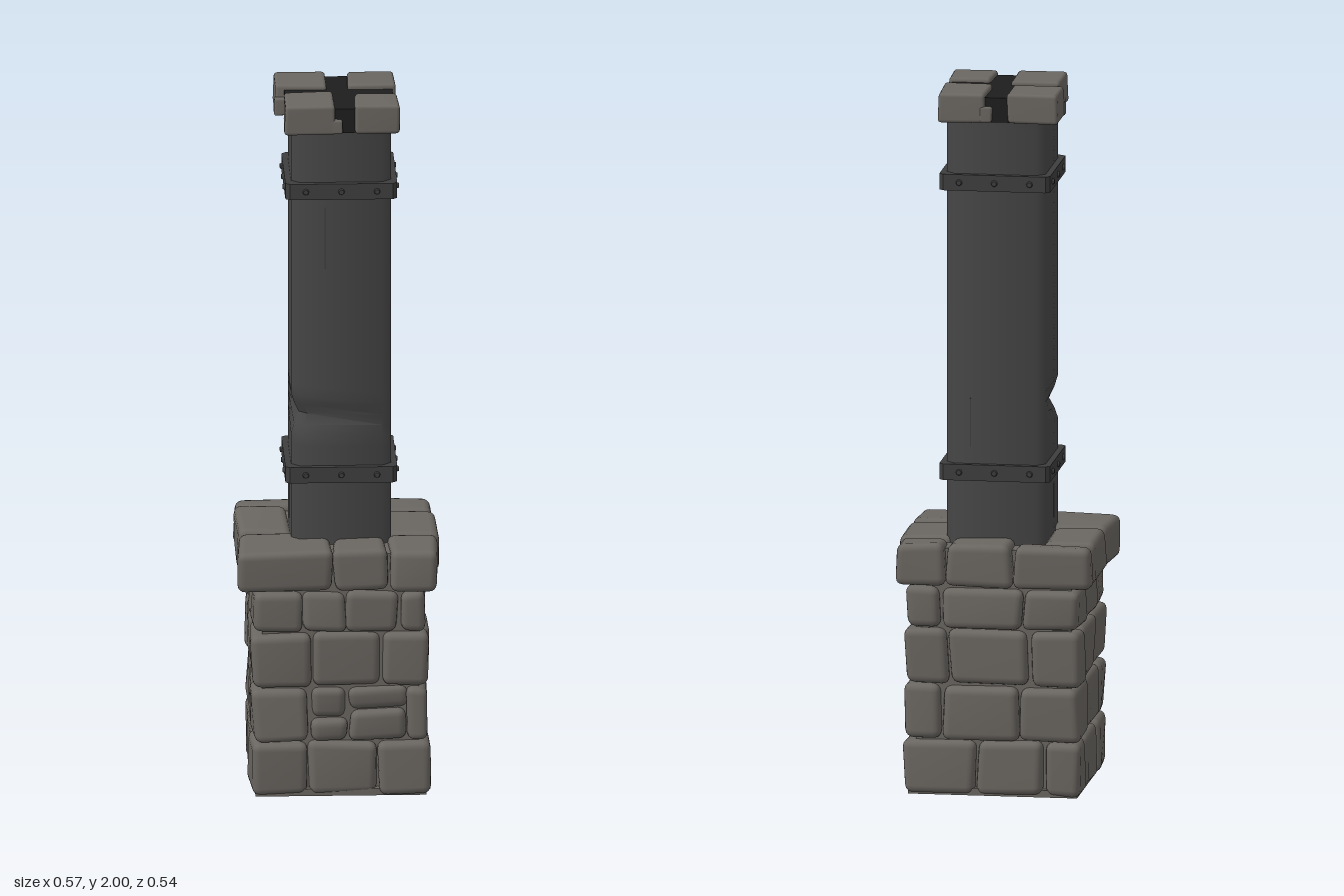
import * as THREE from 'three';
import { mergeVertices, toCreasedNormals } from 'three/addons/utils/BufferGeometryUtils.js';
import { RoundedBoxGeometry } from 'three/addons/geometries/RoundedBoxGeometry.js';

const mat = (name, color) => {
  const m = new THREE.MeshStandardMaterial({ color });
  m.name = name;
  return m;
};

export function createModel() {
  const stone = mat('warm grey stone', 0x6a6661);
  const wood = mat('charcoal timber', 0x474747);
  const iron = mat('dark iron', 0x3e3e3e);
  const black = mat('black core', 0x1e1e1e);

  let seed = 7;
  const rand = () => {
    seed = (seed * 16807) % 2147483647;
    return seed / 2147483647;
  };

  const model = new THREE.Group();
  model.name = 'pillar';
  const add = (parent, name, geometry, material) => {
    const mesh = new THREE.Mesh(geometry, material);
    mesh.name = name;
    parent.add(mesh);
    return mesh;
  };
  const group = (name) => {
    const g = new THREE.Group();
    g.name = name;
    model.add(g);
    return g;
  };

  // Rounded block whose eight corners are nudged for a hand-cut look
  function block(parent, name, x0, x1, y0, y1, z0, z1, radius = 0.022, wobble = 0.008) {
    const size = [x1 - x0, y1 - y0, z1 - z0];
    const r = Math.min(radius, Math.min(...size) * 0.35);
    let g = new RoundedBoxGeometry(...size, 2, r);
    g.deleteAttribute('normal');
    g.deleteAttribute('uv');
    g = mergeVertices(g, 1e-5);
    const nudges = Array.from({ length: 8 }, () =>
      new THREE.Vector3(rand() - 0.5, (rand() - 0.5) * 0.6, rand() - 0.5).multiplyScalar(wobble * 2));
    const p = g.attributes.position;
    const v = new THREE.Vector3();
    for (let i = 0; i < p.count; i++) {
      v.fromBufferAttribute(p, i);
      const t = [v.x / size[0] + 0.5, v.y / size[1] + 0.5, v.z / size[2] + 0.5];
      nudges.forEach((n, k) => {
        const w = t.reduce((a, f, axis) => a * ((k >> axis) & 1 ? f : 1 - f), 1);
        v.addScaledVector(n, w);
      });
      p.setXYZ(i, v.x, v.y, v.z);
    }
    g.clearGroups();
    g.computeVertexNormals();
    add(parent, name, g, stone).position.set((x0 + x1) / 2, (y0 + y1) / 2, (z0 + z1) / 2);
  }

  // Masonry base: each course lists its joints along x (front, back) and z (right, left)
  const base = group('stoneBase');
  const courses = [
    { y: [0.003, 0.157], x: [-0.25, 0.26], z: [-0.25, 0.26],
      front: [-0.09, 0.11], back: [-0.14, 0.05], right: [-0.13, 0.08], left: [-0.12, 0.09] },
    { y: [0.16, 0.313], x: [-0.245, 0.255], z: [-0.25, 0.26], split: [0.225, 0.25],
      front: [-0.085, 0.025, 0.19], back: [-0.07, 0.15], right: [-0.13, 0.055], left: [-0.06, 0.13] },
    { y: [0.318, 0.473], x: [-0.25, 0.255], z: [-0.25, 0.255],
      front: [-0.08, 0.115], back: [-0.1, 0.13], right: [0, 0.17], left: [-0.14, 0.06] },
    { y: [0.478, 0.594], x: [-0.245, 0.25], z: [-0.25, 0.255],
      front: [-0.105, 0.02, 0.17], back: [-0.08, 0.15], right: [-0.11, 0.105], left: [-0.08, 0.1] },
    { y: [0.6, 0.72], x: [-0.283, 0.283], z: [-0.27, 0.267],
      front: [-0.02, 0.135], back: [-0.055, 0.135], right: [-0.138, 0.087], left: [-0.197, 0.053] },
  ];
  const gap = 0.003, depth = 0.16;
  courses.forEach(({ y: [y0, y1], x: [xa, xb], z: [za, zb], front, back, right, left, split }) => {
    const put = (x0, x1, z0, z1, ya = y0, yb = y1) =>
      block(base, 'baseStone', x0 + gap, x1 - gap, ya, yb, z0 + gap, z1 - gap);
    const last = (a) => a[a.length - 1];
    // Corner stones
    put(xa, front[0], last(left), zb);
    put(last(front), xb, last(right), zb);
    put(xa, back[0], za, left[0]);
    put(last(back), xb, za, right[0]);
    // Stones between the corners
    for (let i = 0; i < front.length - 1; i++) {
      const [x0, x1] = [front[i], front[i + 1]];
      if (split) {
        put(x0, x1, zb - depth, zb - 0.006, y0, split[i]);
        put(x0, x1, zb - depth, zb - 0.012, split[i], y1);
      } else put(x0, x1, zb - depth, zb - 0.007);
    }
    put(back[0], back[1], za, za + depth);
    put(xb - depth, xb, right[0], right[1]);
    put(xa, xa + depth, left[0], left[1]);
  });
  const coreShape = new THREE.BoxGeometry(0.44, 0.7, 0.44);
  add(base, 'mortarCore', coreShape, stone).position.set(0.004, 0.352, 0.004);
  add(base, 'foot', new THREE.BoxGeometry(0.48, 0.02, 0.48), stone).position.set(0.005, 0.01, 0.005);

  // Upright prism with a square, corner-cut outline
  function prism(half, cut, height, steps = 1) {
    const s = new THREE.Shape();
    const a = half - cut;
    const pts = [[a, -half], [half, -a], [half, a], [a, half], [-a, half], [-half, a], [-half, -a], [-a, -half]];
    s.setFromPoints(pts.map(([x, y]) => new THREE.Vector2(x, y)));
    const g = new THREE.ExtrudeGeometry(s, { depth: height, steps, bevelEnabled: false });
    return g.rotateX(-Math.PI / 2);
  }

  // Timber shaft, chipped on one corner
  const shaft = group('shaft');
  shaft.position.set(0.01, 0, -0.01);
  const shaftGeo = prism(0.14, 0.024, 1.23, 41);
  const sp = shaftGeo.attributes.position;
  for (let i = 0; i < sp.count; i++) {
    const x = sp.getX(i), y = sp.getY(i) + 0.69, z = sp.getZ(i);
    if (x < -0.1 && z > 0.1) {
      const chip = 0.022 * Math.max(0, 1 - Math.abs(y - 1.08) / 0.05);
      sp.setXYZ(i, x + chip, y - 0.69, z - chip);
    }
  }
  add(shaft, 'timberPost', toCreasedNormals(shaftGeo, 0.9), wood).position.y = 0.69;

  // Grain cracks, iron bands and rivets on the four faces
  const cracks = [[-0.045, 1.6, 0.18], [0.06, 1.3, 0.22], [-0.07, 1.05, 0.14], [0.03, 0.8, 0.1]];
  const bandHeights = [0.91, 1.74];
  bandHeights.forEach((y) =>
    add(shaft, 'ironBand', toCreasedNormals(prism(0.157, 0.012, 0.046), 0.5), iron).position.y = y - 0.023);
  for (let side = 0; side < 4; side++) {
    const face = new THREE.Group();
    face.name = 'shaftFace';
    face.rotation.y = side * Math.PI / 2;
    shaft.add(face);
    const [cx, cy, ch] = cracks[side];
    add(face, 'grainCrack', new THREE.BoxGeometry(0.003, ch, 0.002), iron).position.set(cx, cy, 0.14);
    bandHeights.forEach((y) => [-0.1, 0, 0.1].forEach((x) => {
      const rivet = add(face, 'rivet', new THREE.CylinderGeometry(0.007, 0.01, 0.008, 8), iron);
      rivet.rotation.x = Math.PI / 2;
      rivet.position.set(x, y, 0.159);
    }));
  }

  // Cap: four stones set around a black cross
  const cap = group('cap');
  add(cap, 'capCore', new THREE.BoxGeometry(0.304, 0.07, 0.318), black).position.set(0.008, 1.95, -0.004);
  const capStones = [
    [-0.17, -0.025, -0.175, -0.035], [0.037, 0.17, -0.175, -0.035],
    [-0.15, -0.01, 0.018, 0.17], [0.05, 0.172, 0.038, 0.165],
  ];
  capStones.forEach(([x0, x1, z0, z1]) => block(cap, 'capStone', x0, x1, 1.912, 1.998, z0, z1, 0.01, 0.004));
  // Chips that fray the inner edges of the cap stones
  block(cap, 'capChip', -0.172, -0.14, 1.915, 1.965, -0.05, -0.015, 0.006, 0.002);
  block(cap, 'capChip', -0.03, 0.012, 1.915, 1.955, 0.13, 0.17, 0.006, 0.002);
  block(cap, 'capChip', 0.016, 0.05, 1.915, 1.96, -0.177, -0.14, 0.006, 0.002);
  block(cap, 'capChip', 0.14, 0.173, 1.915, 1.96, 0.015, 0.05, 0.006, 0.002);
  return model;
}
